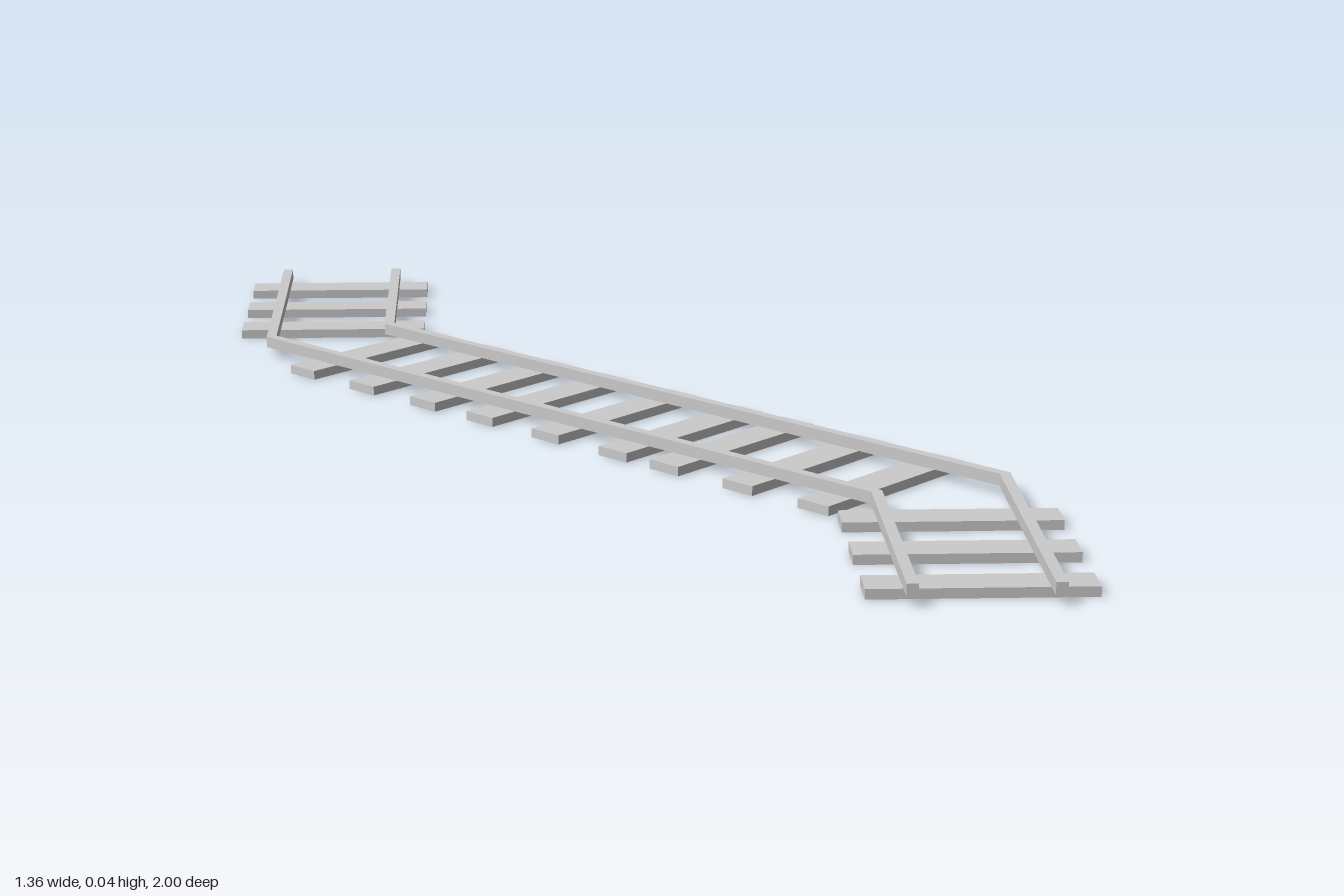
import * as THREE from 'three';

const material = new THREE.MeshStandardMaterial({ color: 0xcccccc, flatShading: true });
const TIE = { length: 0.345, height: 0.016, width: 0.063 };
const RAIL = { width: 0.018, height: 0.02 };
const BEND = 0.505;        // the centre line turns 45 degrees at (-BEND, -BEND) and (BEND, BEND)
const HALF_GAUGE = 0.108;
const MITRE = Math.tan(Math.PI / 8);

// Centre line of the track shifted sideways by d, as [x, z] points with mitred corners
function offsetLine(d) {
  return [
    [-BEND + d, -1],
    [-BEND + d, -BEND - d * MITRE],
    [BEND + d, BEND - d * MITRE],
    [BEND + d, 1],
  ];
}

// One continuous rail: its plan outline raised to the rail height
function makeRail(name, d) {
  const outline = [
    ...offsetLine(d - RAIL.width / 2),
    ...offsetLine(d + RAIL.width / 2).reverse(),
  ];
  const shape = new THREE.Shape(outline.map(([x, z]) => new THREE.Vector2(x, -z)));
  const geometry = new THREE.ExtrudeGeometry(shape, { depth: RAIL.height, bevelEnabled: false });
  geometry.rotateX(-Math.PI / 2);
  const rail = new THREE.Mesh(geometry, material);
  rail.name = name;
  rail.position.y = TIE.height;
  return rail;
}

export function createModel() {
  const track = new THREE.Group();
  track.name = 'railTrack';

  track.add(makeRail('leftRail', HALF_GAUGE), makeRail('rightRail', -HALF_GAUGE));

  const tieGeometry = new THREE.BoxGeometry(TIE.length, TIE.height, TIE.width);
  const addTie = (name, x, z, angle) => {
    const tie = new THREE.Mesh(tieGeometry, material);
    tie.name = name;
    tie.position.set(x, TIE.height / 2, z);
    tie.rotation.y = angle;
    track.add(tie);
  };

  // Three sleepers on each straight end
  for (const z of [0.616, 0.774, 0.932]) {
    addTie('frontSleeper', BEND, z, 0);
    addTie('backSleeper', -BEND, -z, 0);
  }

  // Unevenly spaced sleepers along the diagonal
  for (const p of [-0.426, -0.315, -0.205, -0.105, 0.006, 0.116, 0.197, 0.309, 0.42]) {
    addTie('diagonalSleeper', p, p, Math.PI / 4);
  }

  return track;
}
